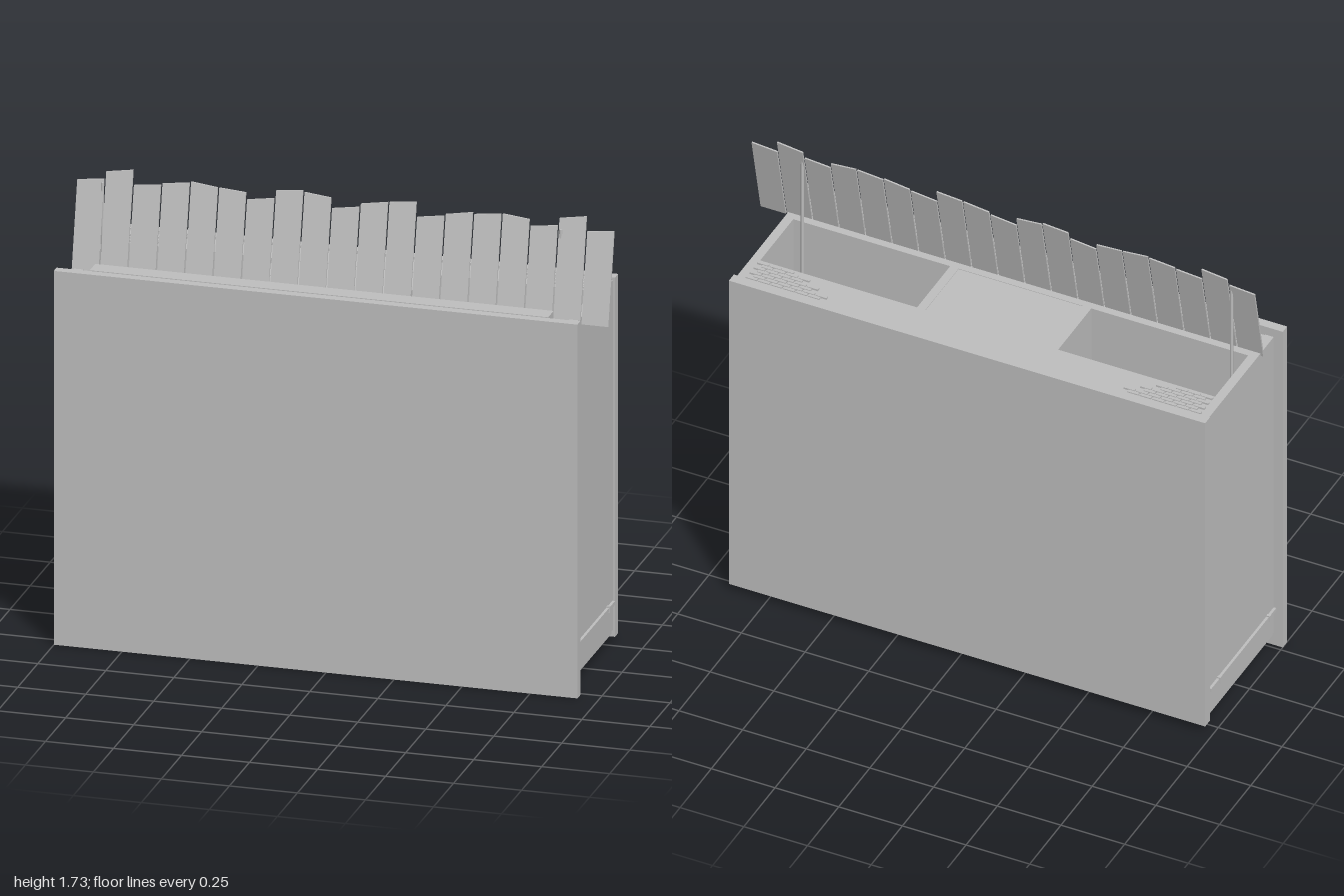
import * as THREE from 'three';

const CX = -0.038; // the cabinet's own middle

export function createModel() {
  const root = new THREE.Group();
  root.name = 'planterCabinet';
  const grey = new THREE.MeshStandardMaterial({ color: 0xbfbfbf });
  grey.name = 'plain grey';

  // Box from its low and high corners, with x measured from the cabinet's middle
  const box = (name, x0, x1, y0, y1, z0, z1, parent = root) => {
    const mesh = new THREE.Mesh(new THREE.BoxGeometry(x1 - x0, y1 - y0, z1 - z0), grey);
    mesh.position.set(CX + (x0 + x1) / 2, (y0 + y1) / 2, (z0 + z1) / 2);
    mesh.name = name;
    parent.add(mesh);
    return mesh;
  };
  // The same box on both sides
  const pair = (name, x0, x1, ...rest) => {
    box(name + 'Left', x0, x1, ...rest);
    box(name + 'Right', -x1, -x0, ...rest);
  };

  // Large front and back panels
  box('frontPanel', -0.9625, 0.9625, 0, 1.405, 0.265, 0.3);
  box('backPanel', -0.935, 0.935, 0.03, 1.38, -0.3, -0.26);

  // Cabinet body: sides, floor, rear duct and inner walls around two open bins
  pair('sidePanel', 0.893, 0.927, 0.055, 1.37, -0.26, 0.265);
  box('floor', -0.922, 0.922, 0.04, 0.06, -0.26, 0.265);
  box('rearDuct', -0.893, 0.893, 0.06, 1.37, -0.26, -0.135);
  box('innerFrontWall', -0.893, 0.893, 0.06, 1.37, 0.13, 0.165);
  box('frontLedge', -0.893, 0.893, 1.335, 1.367, 0.165, 0.265);
  pair('binDivider', 0.244, 0.277, 0.06, 1.37, -0.135, 0.13);
  box('middleLid', -0.244, 0.244, 1.335, 1.368, -0.135, 0.13);

  // Rail along the top of the front panel
  box('topRail', -0.8425, 0.8425, 1.38, 1.405, 0.19, 0.258);
  pair('railSupport', 0.7, 0.74, 1.36, 1.38, 0.2, 0.25);

  // Low side bars with small brackets
  pair('sideBar', 0.927, 0.937, 0.153, 0.167, -0.255, 0.265);
  for (const z of [-0.185, 0.21]) {
    pair('barBracket', 0.925, 0.941, 0.148, 0.172, z - 0.005, z + 0.005);
  }

  // Staggered vent tiles in the rear corners, on the top and underneath
  const vents = new THREE.Group();
  vents.name = 'ventTiles';
  root.add(vents);
  for (let row = 0; row < 7; row++) {
    const z = -0.246 + row * 0.0155;
    const count = 6 - Math.floor(row / 2);
    for (let i = 0; i < count; i++) {
      const x = 0.893 - i * 0.049 - (row % 2) * 0.022;
      for (const [y0, y1] of [[1.369, 1.377], [0.033, 0.041]]) {
        box('ventTile', x - 0.043, x, y0, y1, z - 0.006, z + 0.006, vents);
        box('ventTile', -x, -x + 0.043, y0, y1, z - 0.006, z + 0.006, vents);
      }
    }
  }

  // Slender posts behind the slats
  for (const side of [-1, 1]) {
    const post = new THREE.Mesh(new THREE.CylinderGeometry(0.006, 0.006, 1.62, 10), grey);
    post.position.set(CX + side * 0.8425, 0.06 + 0.81, 0.1);
    post.name = 'slatPost';
    root.add(post);
  }

  // Leaning fence slats, each with its own slanted top [left height, right height]
  const tops = [
    [1.68, 1.69], [1.717, 1.732], [1.68, 1.69], [1.696, 1.707], [1.712, 1.701],
    [1.701, 1.694], [1.67, 1.684], [1.712, 1.722], [1.716, 1.706], [1.67, 1.684],
    [1.696, 1.711], [1.712, 1.722], [1.67, 1.684], [1.69, 1.706], [1.70, 1.711],
    [1.712, 1.702], [1.68, 1.69], [1.717, 1.732], [1.68, 1.69],
  ];
  const base = 1.357;
  const lean = new THREE.Matrix4().makeShear(0, 0, 0, -0.218, 0, 0);
  const slats = new THREE.Group();
  slats.name = 'fenceSlats';
  root.add(slats);
  tops.forEach(([a, b], i) => {
    const w = 0.0985;
    const shape = new THREE.Shape([
      new THREE.Vector2(0, 0), new THREE.Vector2(w, 0),
      new THREE.Vector2(w, b - base), new THREE.Vector2(0, a - base),
    ]);
    const geo = new THREE.ExtrudeGeometry(shape, { depth: 0.007, bevelEnabled: false });
    // lean the slat backwards by moving z with height
    const p = geo.attributes.position;
    for (let k = 0; k < p.count; k++) p.setZ(k, p.getZ(k) - 0.218 * p.getY(k));
    geo.computeVertexNormals();
    const slat = new THREE.Mesh(geo, grey);
    slat.position.set(-0.974 + i * 0.10415, base, 0.162);
    slat.name = 'slat';
    slats.add(slat);
  });

  return root;
}
